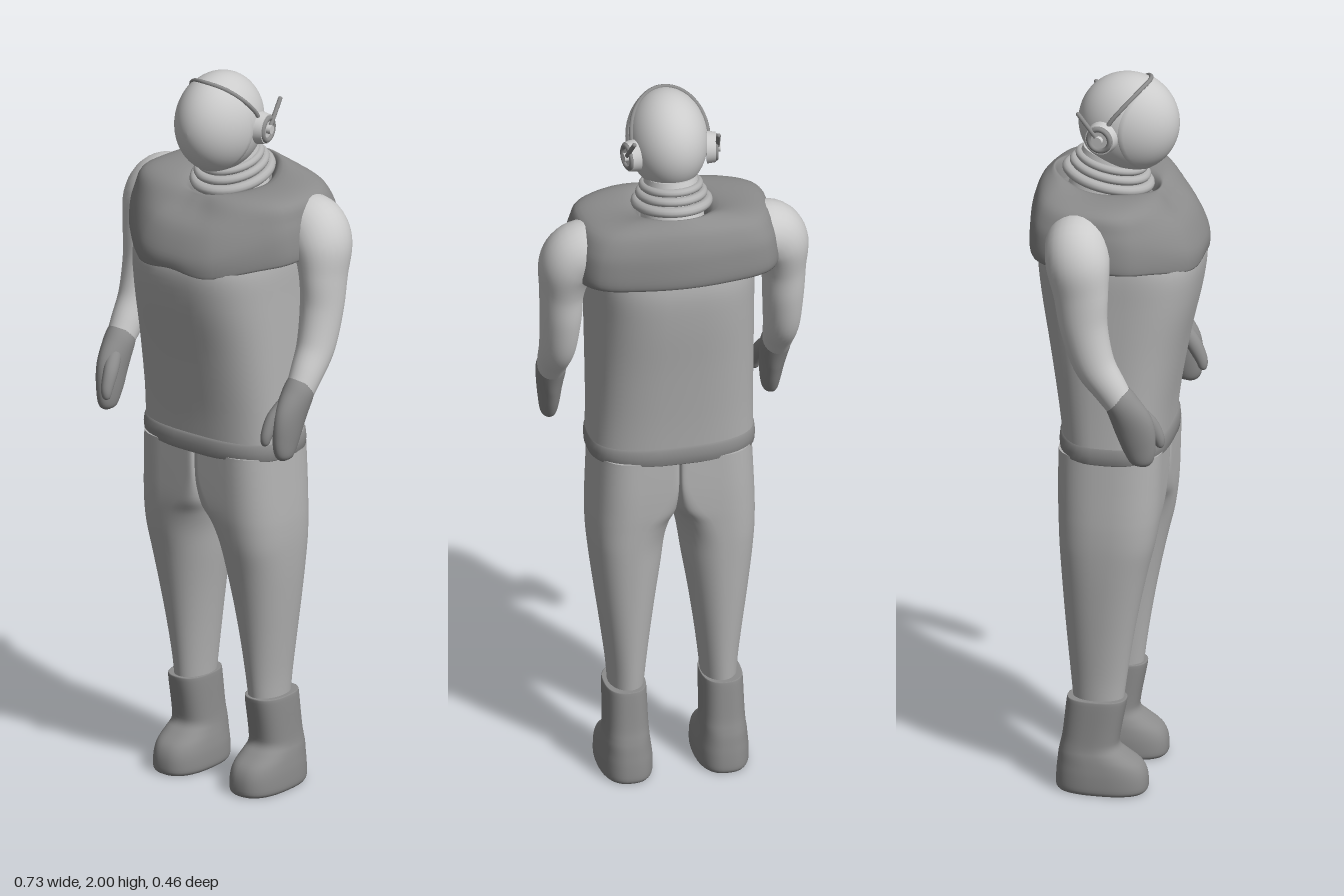
import * as THREE from 'three';

const LIGHT = new THREE.MeshStandardMaterial({ color: 0xcccccc });
const MID = new THREE.MeshStandardMaterial({ color: 0xb4b4b4 });
const DARK = new THREE.MeshStandardMaterial({ color: 0x8c8c8c });
const SEG = 48;
const V = (x, y, z) => new THREE.Vector3(x, y, z);

// Catmull-Rom interpolation of every column in a table of rows
function smooth(rows, steps = 5) {
  const out = [];
  const at = i => rows[Math.max(0, Math.min(rows.length - 1, i))];
  for (let i = 0; i < rows.length - 1; i++) {
    for (let s = 0; s < steps; s++) {
      const t = s / steps;
      out.push(rows[i].map((b, c) => {
        const a = at(i - 1)[c], d = at(i + 1)[c], e = at(i + 2)[c];
        return b + 0.5 * t * (d - a + t * (2 * a - 5 * b + 4 * d - e + t * (3 * (b - d) + e - a)));
      }));
    }
  }
  out.push(rows[rows.length - 1]);
  return out;
}

// Skin over closed rings of points, capped at both ends, always facing outward
function loft(rings, caps = true) {
  const n = rings[0].length, pos = [], idx = [];
  rings.forEach(r => r.forEach(p => pos.push(p.x, p.y, p.z)));
  for (let i = 0; i < rings.length - 1; i++) {
    for (let j = 0; j < n; j++) {
      const a = i * n + j, b = i * n + (j + 1) % n;
      idx.push(a, a + n, b, b, a + n, b + n);
    }
  }
  if (caps) [rings[0], rings[rings.length - 1]].forEach((r, end) => {
    const base = pos.length / 3;
    const mid = r.reduce((m, p) => m.add(p), V(0, 0, 0)).divideScalar(n);
    [...r, mid].forEach(p => pos.push(p.x, p.y, p.z));
    for (let j = 0; j < n; j++) {
      const a = base + j, b = base + (j + 1) % n;
      idx.push(base + n, ...(end ? [b, a] : [a, b]));
    }
  });
  let volume = 0;
  const p = k => V(pos[3 * k], pos[3 * k + 1], pos[3 * k + 2]);
  for (let k = 0; k < idx.length; k += 3) volume += p(idx[k]).dot(p(idx[k + 1]).cross(p(idx[k + 2])));
  if (volume < 0) for (let k = 0; k < idx.length; k += 3) [idx[k], idx[k + 1]] = [idx[k + 1], idx[k]];
  const g = new THREE.BufferGeometry();
  g.setAttribute('position', new THREE.Float32BufferAttribute(pos, 3));
  g.setIndex(idx);
  g.computeVertexNormals();
  return g;
}

const spow = (v, e) => Math.sign(v) * Math.pow(Math.abs(v), e);

// Level ring between x0..x1 and z0..z1; e and eIn set how square each half is
function section(y, x0, x1, z0, z1, e = 1, eIn = e, side = 1) {
  return Array.from({ length: SEG }, (_, j) => {
    const t = j / SEG * Math.PI * 2, c = Math.cos(t), q = c < -1e-6 ? eIn : e;
    return V(side * ((x0 + x1) / 2 + (x1 - x0) / 2 * spow(c, q)), y,
      (z0 + z1) / 2 + (z1 - z0) / 2 * spow(Math.sin(t), q));
  });
}

// Limb through rows of x, y, z, half width, half depth
function limb(rows, side) {
  const s = smooth(rows, 6);
  return loft(s.map((r, i) => {
    const a = s[Math.max(0, i - 1)], b = s[Math.min(s.length - 1, i + 1)];
    const dir = V(b[0] - a[0], b[1] - a[1], b[2] - a[2]).normalize();
    const v = V(0, 0, 1).addScaledVector(dir, -dir.z).normalize();
    const u = v.clone().cross(dir);
    return Array.from({ length: 28 }, (_, j) => {
      const t = j / 28 * Math.PI * 2;
      const p = V(r[0], r[1], r[2]).addScaledVector(u, r[3] * Math.cos(t)).addScaledVector(v, r[4] * Math.sin(t));
      p.x *= side;
      return p;
    });
  }));
}

// Shoulder yoke: wide outline blended toward the oval neck opening
function yokeGeometry() {
  const half = [[0, .23], [.07, .225], [.125, .205], [.215, .125], [.265, .06], [.272, -.05],
    [.262, -.14], [.225, -.19], [.12, -.22], [0, -.232]];
  const all = [...half, ...half.slice(1, -1).reverse().map(([x, z]) => [-x, z])];
  const outline = new THREE.CatmullRomCurve3(all.map(([x, z]) => V(x, 0, z)), true).getPoints(72).slice(0, -1);
  // blend front, side, back; height front, side, back; wave of the hem
  const levels = smooth([
    [.5, .4, .5, 1.525, 1.56, 1.57, 0], [.08, .04, .15, 1.497, 1.53, 1.54, 1],
    [0, -.03, 0, 1.505, 1.545, 1.555, 1], [.03, -.01, 0, 1.545, 1.6, 1.6, .3],
    [.3, .04, .08, 1.61, 1.64, 1.645, 0], [.7, .14, .35, 1.65, 1.682, 1.69, 0],
    [.92, .5, .75, 1.675, 1.697, 1.715, 0], [1, 1, 1, 1.68, 1.69, 1.72, 0],
    [1.12, 1.15, 1.15, 1.65, 1.65, 1.67, 0]], 4);
  return loft(levels.map(l => outline.map(o => {
    const w = o.z / .232, f = Math.max(0, w) ** 2, b = Math.max(0, -w) ** 2, m = 1 - f - b;
    const k = l[0] * f + l[1] * m + l[2] * b;
    const a = Math.atan2((o.z + .035) / .2, o.x / .27);
    const wave = w > 0 ? .018 * l[6] * Math.exp(-((o.x / .08) ** 2)) - .012 * l[6] * f : 0;
    return V(o.x + k * (.11 * Math.cos(a) - o.x), l[3] * f + l[4] * m + l[5] * b + wave,
      o.z + k * (-.035 + .14 * Math.sin(a) - o.z));
  })));
}

export function createModel() {
  const model = new THREE.Group();
  const add = (name, geo, mat, parent = model) => {
    const m = new THREE.Mesh(geo, mat);
    m.name = name;
    parent.add(m);
    return m;
  };

  // Trunk: y, half width, back, front
  const trunk = [[1, .222, -.142, .137], [1.1, .22, -.155, .15], [1.25, .22, -.178, .178],
    [1.4, .22, -.203, .212], [1.5, .22, -.213, .22], [1.57, .21, -.205, .19]];
  add('torso', loft(smooth(trunk).map(([y, w, b, f]) => section(y, -w, w, b, f, .72))), MID);
  add('shoulderYoke', yokeGeometry(), DARK);
  const belt = [[.958, 0], [.963, .006], [.985, .008], [1.005, .006], [1.011, 0]];
  add('belt', loft(belt.map(([y, o]) => section(y, -.218 - o, .218 + o, -.143 - o, .138 + o, .72))), DARK);

  // Legs, boots, arms and gloves, once per side
  for (const side of [1, -1]) {
    const tag = side > 0 ? 'left' : 'right';
    // y, inner x, outer x, back, front, squareness of inner half
    const leg = [[.24, .08, .172, -.1, .032, 1], [.32, .072, .178, -.108, .042, 1],
      [.42, .06, .19, -.117, .057, 1], [.52, .046, .203, -.125, .075, 1],
      [.62, .03, .215, -.132, .096, 1], [.7, .019, .222, -.137, .115, .95], [.76, .007, .224, -.14, .125, .75],
      [.81, 0, .223, -.142, .13, .35], [.88, 0, .22, -.143, .133, .12], [.97, 0, .216, -.142, .136, .1]];
    add(tag + 'TrouserLeg', loft(smooth(leg).map(([y, x0, x1, b, f, q]) =>
      section(y, Math.max(0, x0), x1, b, f, .8 + .2 * Math.max(0, Math.min(1, (.7 - y) / .4)), Math.max(.1, q), side))), MID);

    const boot = [[0, .064, .196, -.14, .092], [.012, .058, .202, -.146, .1], [.05, .058, .202, -.145, .098],
      [.08, .062, .199, -.142, .083], [.105, .067, .195, -.139, .048], [.125, .07, .191, -.135, .024],
      [.16, .072, .189, -.128, .025], [.25, .074, .187, -.118, .042], [.262, .076, .184, -.115, .041]];
    add(tag + 'Boot', loft(smooth(boot, 4).map(([y, x0, x1, b, f]) => section(y, x0, x1, b, f, .8, .8, side))), DARK);

    add(tag + 'Arm', limb([[.2, 1.6, -.07, .08, .085], [.255, 1.595, -.065, .085, .085],
      [.288, 1.555, -.055, .077, .085], [.3, 1.48, -.045, .06, .073], [.301, 1.39, -.037, .055, .064],
      [.303, 1.29, -.01, .049, .056], [.305, 1.22, .035, .042, .046], [.305, 1.16, .075, .034, .038]], side), LIGHT);
    add(tag + 'Glove', limb([[.305, 1.2, .052, .037, .042], [.304, 1.175, .068, .04, .046],
      [.302, 1.12, .097, .034, .054], [.3, 1.06, .112, .028, .046], [.3, 1.015, .12, .02, .03],
      [.3, 1.002, .121, .004, .006]], side), DARK);
    add(tag + 'Thumb', limb([[.292, 1.16, .1, .02, .02], [.277, 1.12, .135, .019, .021],
      [.272, 1.08, .157, .016, .017], [.27, 1.055, .163, .011, .011], [.27, 1.047, .164, .002, .002]], side), DARK);
  }

  // Neck with stacked rings leaning forward
  const neck = new THREE.Group();
  neck.name = 'neck';
  neck.position.set(0, 1.7, -.035);
  neck.rotation.x = .2;
  model.add(neck);
  add('neckCore', new THREE.CylinderGeometry(.07, .088, .15, 40), LIGHT, neck).scale.z = 1.18;
  [[.004, .094, .014], [.028, .083, .012], [.05, .074, .011]].forEach(([y, r, t]) => {
    const ring = add('neckRing', new THREE.TorusGeometry(r, t, 12, 48).rotateX(Math.PI / 2), MID, neck);
    ring.position.y = y;
    ring.scale.z = 1.16;
  });

  // Helmet with a bulging face plate
  const head = new THREE.Group();
  head.name = 'head';
  head.position.set(0, 1.861, .02);
  model.add(head);
  add('helmet', new THREE.SphereGeometry(1, 48, 32).scale(.107, .136, .134), LIGHT, head);
  const rim = phi => 1.62 - .5 * Math.sin(phi) ** 2;
  const onHead = (phi, theta, k) => V(.107 * k * Math.sin(theta) * Math.cos(phi),
    .136 * k * Math.sin(theta) * Math.sin(phi), .134 * k * Math.cos(theta));
  const plate = Array.from({ length: 18 }, (_, i) => Array.from({ length: SEG }, (_, j) => {
    const phi = j / SEG * Math.PI * 2;
    return onHead(phi, rim(phi) * Math.max(.001, Math.min(1, i / 16)), i === 17 ? .97 : 1.018);
  }));
  add('facePlate', loft(plate, false), LIGHT, head);

  // Headband, ear discs and small aerials
  const band = Array.from({ length: 25 }, (_, i) => {
    const phi = i / 24 * Math.PI;
    return onHead(phi, rim(phi) + .25 * Math.cos(phi) ** 8, 1.015);
  });
  add('headband', new THREE.TubeGeometry(new THREE.CatmullRomCurve3(band), 64, .006, 8), DARK, head);
  for (const side of [1, -1]) {
    const ear = new THREE.Group();
    ear.name = side > 0 ? 'leftEarpiece' : 'rightEarpiece';
    ear.position.set(side * .108, -.012, -.052);
    ear.rotation.y = side * .2;
    head.add(ear);
    add('earDisc', new THREE.CylinderGeometry(.04, .044, .024, 32).rotateZ(-side * Math.PI / 2), LIGHT, ear);
    add('earRing', new THREE.TorusGeometry(.03, .007, 10, 32).rotateY(Math.PI / 2), DARK, ear).position.x = side * .012;
    add('earButton', new THREE.CylinderGeometry(.012, .012, .036, 20).rotateZ(Math.PI / 2), LIGHT, ear).position.x = side * .006;
    const path = new THREE.LineCurve3(V(side * .016, 0, 0), V(side * .018, .068, -.058));
    add('aerial', new THREE.TubeGeometry(path, 1, .006, 10), DARK, ear);
    add('aerialTip', new THREE.SphereGeometry(.006, 10, 8), DARK, ear).position.copy(path.v2);
  }
  return model;
}
